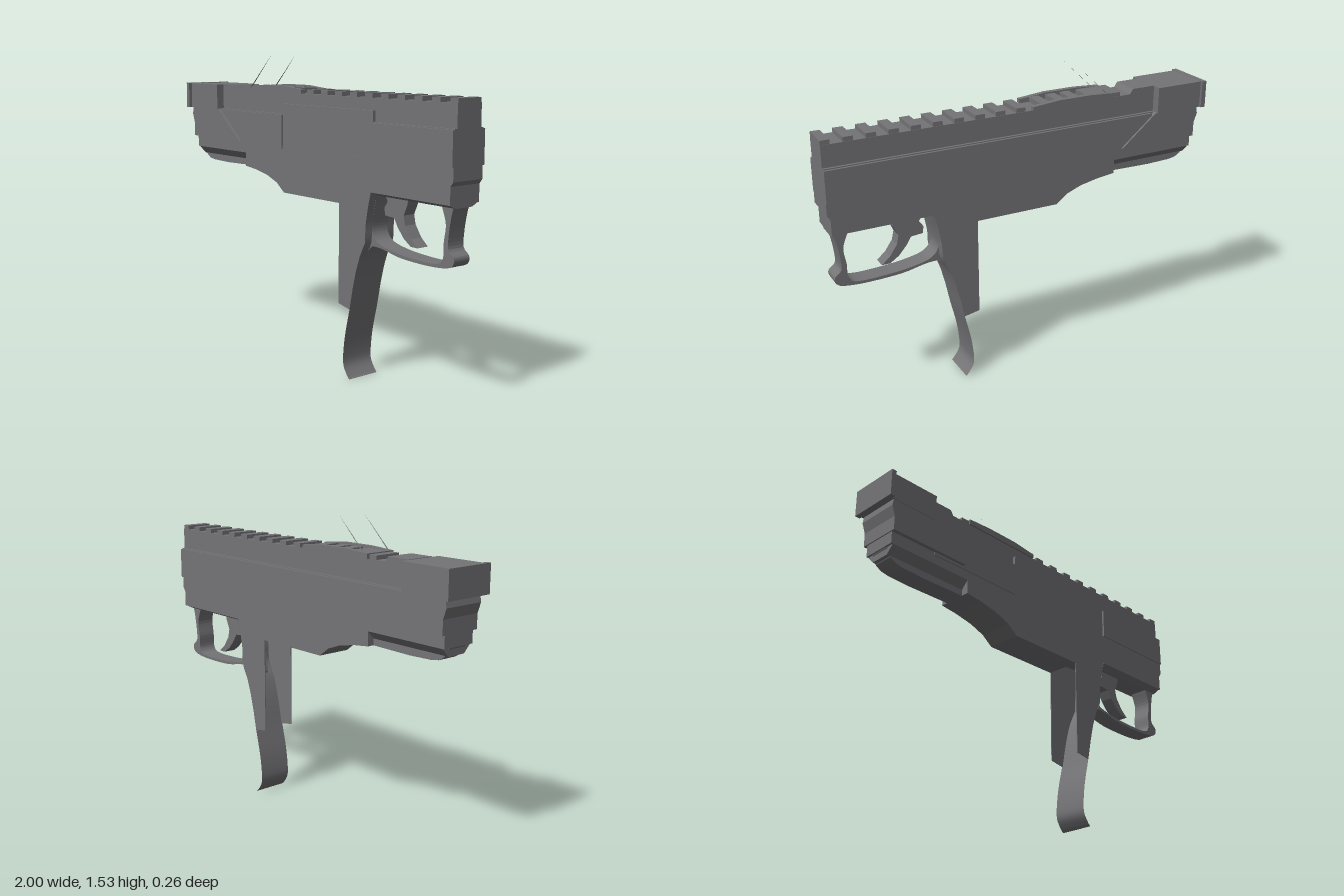
import * as THREE from 'three';

export function createModel() {
  const model = new THREE.Group();
  const grey = new THREE.MeshStandardMaterial({ color: 0x747477, side: THREE.DoubleSide });
  grey.name = 'gunmetal grey';

  const add = (name, geometry) => {
    const mesh = new THREE.Mesh(geometry, grey);
    mesh.name = name;
    model.add(mesh);
    return mesh;
  };
  const vecs = (pts) => pts.map(([x, y]) => new THREE.Vector2(x, y));
  const smooth = (pts, n = 30) => new THREE.SplineCurve(vecs(pts)).getPoints(n);
  // side outline (x, y) given a thickness from z0 to z1
  const prism = (name, pts, z0, z1, hole) => {
    const shape = new THREE.Shape(pts[0].isVector2 ? pts : vecs(pts));
    if (hole) shape.holes.push(new THREE.Path(hole));
    const g = new THREE.ExtrudeGeometry(shape, { depth: z1 - z0, bevelEnabled: false });
    g.translate(0, 0, z0);
    return add(name, g);
  };
  const block = (name, x0, x1, y0, y1, z0, z1) => {
    const g = new THREE.BoxGeometry(x1 - x0, y1 - y0, z1 - z0);
    g.translate((x0 + x1) / 2, (y0 + y1) / 2, (z0 + z1) / 2);
    return add(name, g);
  };
  // cross-section (z, y) swept along x
  const sweep = (name, pts, x0, x1) => {
    const shape = new THREE.Shape(pts.map(([z, y]) => new THREE.Vector2(-z, y)));
    const g = new THREE.ExtrudeGeometry(shape, { depth: x1 - x0, bevelEnabled: false });
    g.rotateY(Math.PI / 2);
    g.translate(x0, 0, 0);
    return add(name, g);
  };

  // receiver
  prism('lowerReceiver', [
    [-0.95, 1.08], [-0.95, 1.02], [-0.49, 1.02], [-0.49, 0.95], [-0.4, 0.94], [-0.3, 0.92],
    [-0.22, 0.89], [-0.16, 0.845], [0.27, 0.845], [0.3, 0.92], [0.985, 0.92], [0.985, 1.0],
    [1, 1.02], [1, 1.08],
  ], -0.087, 0.09);
  block('receiverCore', -0.95, 1, 1.065, 1.24, -0.085, 0.085);
  block('upperReceiver', -0.72, 1, 1.235, 1.345, -0.072, 0.072);
  block('ejectionPanel', -0.17, 0.5, 1.065, 1.29, 0.06, 0.087);
  sweep('lowerBevel', [[-0.087, 0.921], [-0.05, 0.903], [0.05, 0.903], [0.09, 0.921]], 0.49, 0.98);

  // raised side bands
  block('rightBand', -0.7, 1, 1.08, 1.235, -0.097, -0.08);
  block('frontBand', -0.7, -0.17, 1.065, 1.235, 0.08, 0.095);
  block('rearBand', 0.5, 1, 1.08, 1.235, 0.08, 0.097);

  // front end and handguard
  prism('frontShroud', [
    [-0.965, 1.24], [-0.972, 1.2], [-0.955, 1.15], [-0.955, 1.08], [-0.525, 1.08], [-0.72, 1.24],
  ], -0.107, 0.11);
  sweep('handguardBevel', [[-0.087, 1.021], [-0.05, 0.98], [0.05, 0.98], [0.09, 1.021]], -0.94, -0.49);
  prism('handguardBottom', [
    [-0.945, 1.02], [-0.92, 0.975], [-0.89, 0.957], [-0.85, 0.95], [-0.72, 0.946], [-0.49, 0.95], [-0.49, 1.02],
  ], -0.052, 0.052);
  block('muzzleBlock', -1, -0.72, 1.235, 1.368, -0.117, 0.113);
  block('muzzleFlange', -1, -0.975, 1.235, 1.37, -0.13, 0.13);
  prism('frontRamp', [[-0.72, 1.34], [-0.72, 1.37], [-0.595, 1.37], [-0.575, 1.34]], -0.072, 0.072);

  // top rail teeth
  block('railTooth', -0.52, -0.475, 1.34, 1.365, -0.07, 0.07);
  for (let i = 0; i < 10; i++) {
    const x = 0.98 - i * 0.1057;
    block('railTooth', x - 0.024, Math.min(1, x + 0.024), 1.34, 1.366, -0.07, 0.07);
  }

  // folded sight on the rail
  const sightSide = [[-0.475, 1.345], [-0.475, 1.37], [-0.34, 1.378], [-0.17, 1.378], [-0.03, 1.365], [-0.03, 1.345]];
  prism('sightRail', sightSide, -0.085, -0.06);
  prism('sightRail', sightSide, 0.055, 0.08);
  block('sightBase', -0.475, -0.34, 1.34, 1.37, -0.06, 0.055);
  for (const x of [-0.27, -0.19, -0.1]) block('sightRung', x - 0.03, x + 0.02, 1.34, 1.37, -0.06, 0.055);
  for (const z of [-0.074, 0.08]) {
    const g = new THREE.BufferGeometry();
    g.setAttribute('position', new THREE.Float32BufferAttribute(
      [-0.45, 1.36, z - 0.004, -0.45, 1.36, z + 0.004, -0.27, 1.53, z], 3));
    g.computeVertexNormals();
    add('sightNeedle', g);
  }

  // hollow grip: two cheeks and a curved backstrap
  const cheek = [[0.27, 0.93], [0.27, 0.36], [0.35, 0.345], [0.372, 0.45], [0.395, 0.54],
    [0.42, 0.61], [0.455, 0.68], [0.46, 0.77], [0.475, 0.85], [0.495, 0.93]];
  prism('gripCheek', cheek, 0.086, 0.09);
  prism('gripCheek', cheek, -0.087, -0.083);
  const strap = smooth([[0.495, 0.92], [0.475, 0.85], [0.46, 0.77], [0.455, 0.68], [0.42, 0.61], [0.395, 0.54],
    [0.372, 0.45], [0.35, 0.345], [0.32, 0.22], [0.306, 0.12], [0.308, 0.06], [0.335, 0.016], [0.35, 0]], 40);
  const strapGeo = new THREE.PlaneGeometry(1, 1, 1, strap.length - 1);
  const pos = strapGeo.attributes.position;
  strap.forEach((p, i) => {
    pos.setXYZ(2 * i, p.x, Math.max(0, p.y), 0.09);
    pos.setXYZ(2 * i + 1, p.x, Math.max(0, p.y), -0.087);
  });
  strapGeo.computeVertexNormals();
  add('gripBackstrap', strapGeo);

  // trigger guard
  const guard = smooth([[0.48, 0.92], [0.45, 0.77], [0.42, 0.625], [0.46, 0.66], [0.53, 0.66], [0.65, 0.638],
    [0.82, 0.632], [0.93, 0.64], [0.97, 0.658], [0.975, 0.69], [0.942, 0.725], [0.945, 0.8], [0.96, 0.88], [0.975, 0.92]], 60);
  const opening = smooth([[0.49, 0.904], [0.465, 0.8], [0.462, 0.73], [0.5, 0.685], [0.58, 0.663], [0.7, 0.65],
    [0.86, 0.648], [0.91, 0.675], [0.915, 0.75], [0.925, 0.83], [0.9, 0.904]], 50);
  prism('triggerGuard', guard, -0.045, 0.05, opening);

  // trigger
  prism('trigger', [
    [0.53, 0.91], [0.547, 0.88], [0.526, 0.85], [0.53, 0.815], [0.59, 0.81], [0.615, 0.77], [0.655, 0.725],
    [0.7, 0.695], [0.742, 0.695], [0.7, 0.73], [0.662, 0.785], [0.652, 0.83], [0.675, 0.88], [0.68, 0.91],
  ], -0.03, 0.035);

  return model;
}
